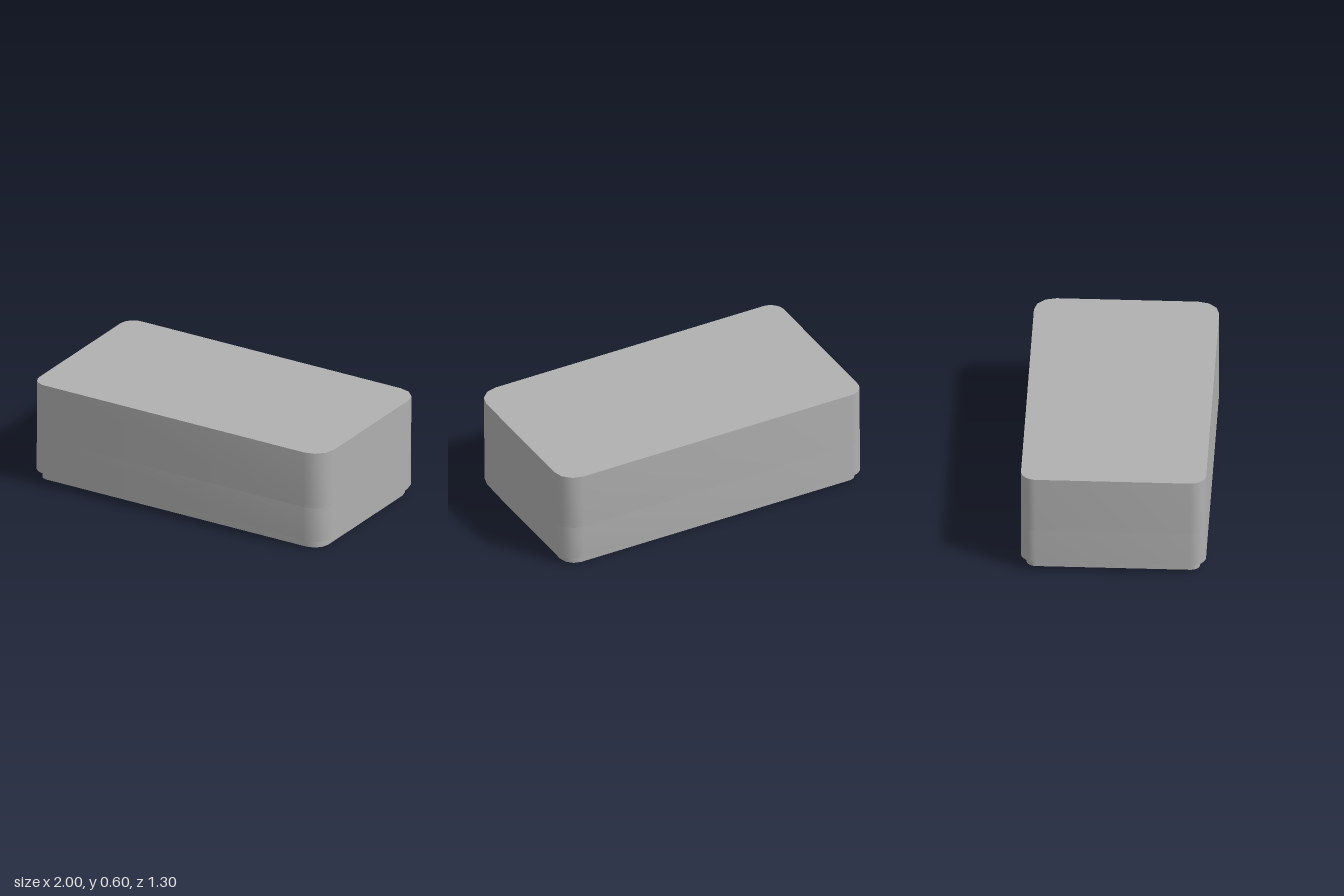
import * as THREE from 'three';
import { toCreasedNormals } from 'three/addons/utils/BufferGeometryUtils.js';

const HALF_L = 0.94, HALF_W = 0.51;   // plan half sizes of the shell
const STEP = 0.048, TOP = 0.58;       // rim height and overall height
const BOSS = { x: 0.83, z: 0.4, r: 0.072, hole: 0.046 };

// Plan outline (x, z) inset from the shell: fine corners at -x, faceted ones at +x
function outlinePoints(inset) {
  const points = [];
  const corners = [[1, 1, 0], [-1, 1, 1], [-1, -1, 2], [1, -1, 3]];
  for (const [sx, sz, quarter] of corners) {
    const r = (sx > 0 ? 0.12 : 0.085) - inset;
    const segments = sx > 0 ? 3 : 8;
    const cx = sx * (HALF_L - inset - r), cz = sz * (HALF_W - inset - r);
    for (let i = 0; i <= segments; i++) {
      const a = (quarter + i / segments) * Math.PI / 2;
      points.push(new THREE.Vector2(cx + r * Math.cos(a), cz + r * Math.sin(a)));
    }
  }
  return points;
}

function circlePath(x, z, r) {
  return new THREE.Path().absarc(x, z, r, 0, Math.PI * 2, true);
}

// Extrude a plan shape between two heights
function slab(shape, y0, y1) {
  const geo = new THREE.ExtrudeGeometry(shape, { depth: y1 - y0, bevelEnabled: false, curveSegments: 24 });
  geo.rotateX(Math.PI / 2).translate(0, y1, 0);
  return toCreasedNormals(geo, 0.6);
}

export function createModel() {
  const grey = new THREE.MeshStandardMaterial({ color: 0xb0b0b0 });
  grey.name = 'plain grey';
  const model = new THREE.Group();
  model.name = 'enclosure';
  const box = new THREE.Group();
  box.name = 'box';
  model.add(box);

  const add = (name, geo) => {
    const mesh = new THREE.Mesh(geo, grey);
    mesh.name = name;
    box.add(mesh);
  };

  const bossCentres = [];
  for (const sx of [-1, 1]) for (const sz of [-1, 1]) bossCentres.push([sx * BOSS.x, sz * BOSS.z]);

  // Shell: lower slab holds the screw holes, upper slab closes them
  const lower = new THREE.Shape(outlinePoints(0));
  for (const [x, z] of bossCentres) lower.holes.push(circlePath(x, z, BOSS.hole));
  add('lowerShell', slab(lower, STEP, 0.25));
  add('upperShell', slab(new THREE.Shape(outlinePoints(0)), 0.25, TOP));

  // Stepped rim around the shallow underside recess
  const rim = new THREE.Shape(outlinePoints(0.032));
  rim.holes.push(new THREE.Path(outlinePoints(0.06)));
  add('bottomRim', slab(rim, 0, STEP));

  // Screw bosses in the corners
  for (const [x, z] of bossCentres) {
    const ring = new THREE.Shape().absarc(x, z, BOSS.r, 0, Math.PI * 2, false);
    ring.holes.push(circlePath(x, z, BOSS.hole));
    add('screwBoss', slab(ring, 0.001, STEP));
  }

  // Curved wall at the -x end
  const arc = new THREE.Shape();
  const spread = 0.98;
  arc.absarc(-0.52, 0.02, 0.39, Math.PI - spread, Math.PI + spread, false);
  arc.absarc(-0.52, 0.02, 0.36, Math.PI + spread, Math.PI - spread, true);
  add('curvedWall', slab(arc, 0.002, STEP));

  // Short ribs on both long sides: x, inner z, outer z
  const ribs = [[-0.41, -0.3, -0.46], [-0.63, -0.3, -0.46], [-0.41, 0.38, 0.46], [-0.6, 0.38, 0.46]];
  for (const [x, z0, z1] of ribs) {
    const geo = new THREE.BoxGeometry(0.05, STEP - 0.002, Math.abs(z1 - z0));
    add('rib', geo.translate(x, STEP / 2 + 0.001, (z0 + z1) / 2));
  }

  // Small peg on the recess floor
  const peg = new THREE.CylinderGeometry(0.02, 0.02, 0.02, 16);
  add('peg', peg.translate(-0.25, STEP - 0.01, -0.28));

  // The box sits turned and very slightly tilted
  box.rotation.set(0, THREE.MathUtils.degToRad(10), -0.009, 'ZYX');
  box.position.set(0, 0.009, -0.003);
  return model;
}
